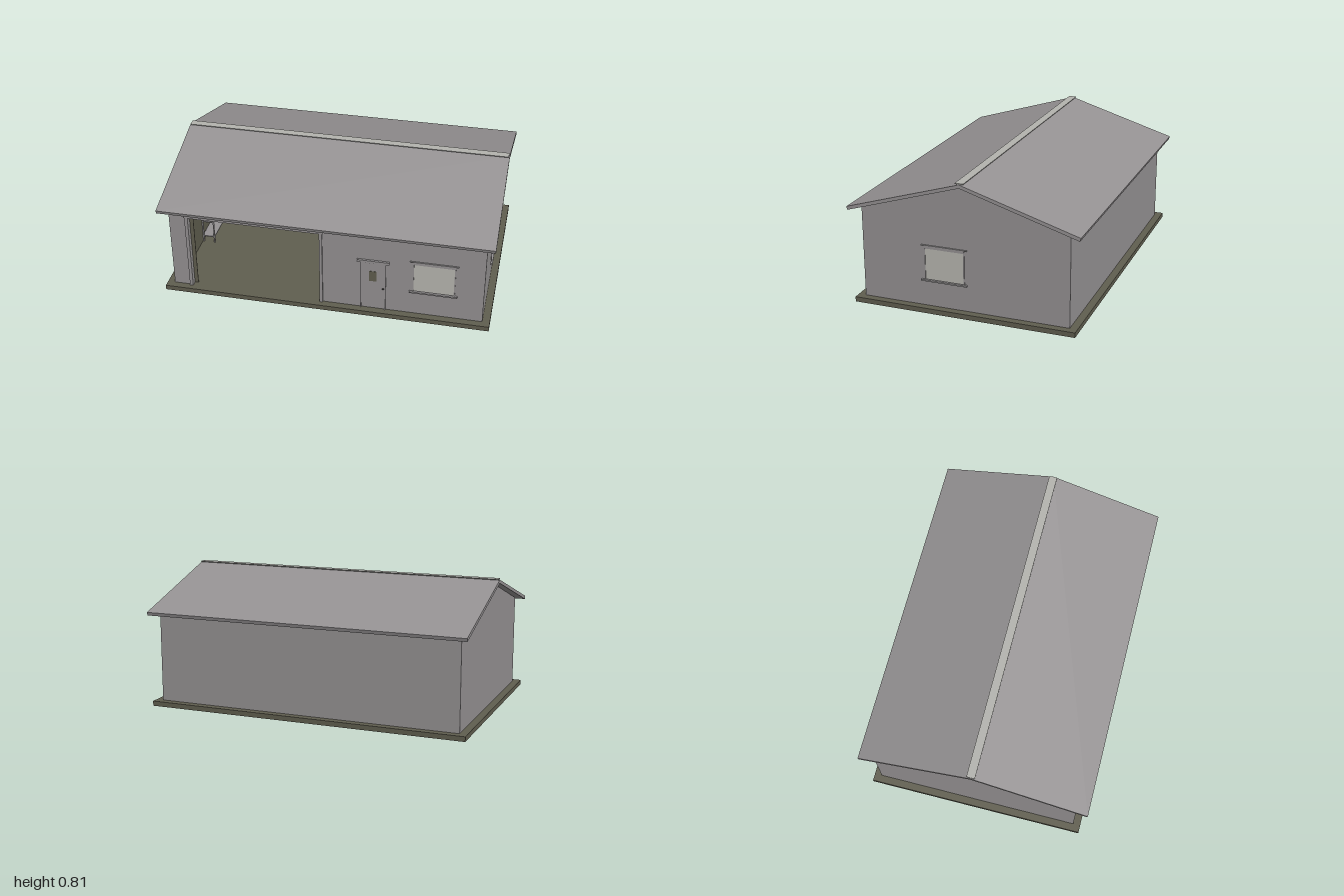
import * as THREE from 'three';

const mat = (name, color) => Object.assign(new THREE.MeshStandardMaterial({ color }), { name });

export function createModel() {
  const group = new THREE.Group();
  const steel = mat('grey cladding', 0x959293);
  const concrete = mat('olive concrete', 0x605e4f);
  const glass = mat('pale glass', 0xb8b7b1);
  const cap = mat('pale ridge metal', 0xb3b3ae);
  const dark = mat('dark metal', 0x3a3a38);

  const add = (name, geometry, material, parent = group) => {
    const mesh = new THREE.Mesh(geometry, material);
    mesh.name = name;
    parent.add(mesh);
    return mesh;
  };
  // Box given by its min and max on each axis
  const box = (name, [x0, x1], [y0, y1], [z0, z1], material, parent) => {
    const mesh = add(name, new THREE.BoxGeometry(x1 - x0, y1 - y0, z1 - z0), material, parent);
    mesh.position.set((x0 + x1) / 2, (y0 + y1) / 2, (z0 + z1) / 2);
    return mesh;
  };
  const shapeOf = (points) => new THREE.Shape(points.map(([x, y]) => new THREE.Vector2(x, y)));
  // Cross-section in z and y, pulled along x and centred on x
  const prismX = (name, points, length, x, material) => {
    const g = new THREE.ExtrudeGeometry(shapeOf(points), { depth: length, bevelEnabled: false });
    g.translate(0, 0, -length / 2);
    g.rotateY(Math.PI / 2);
    add(name, g, material).position.x = x;
  };

  // Floor slab
  box('floorSlab', [-0.995, 0.995], [0, 0.03], [-0.675, 0.675], concrete);

  // Front wall with the vehicle opening cut out
  const front = shapeOf([
    [-0.95, 0.03], [-0.83, 0.03], [-0.83, 0.522], [-0.03, 0.522],
    [-0.03, 0.03], [0.95, 0.03], [0.95, 0.588], [-0.95, 0.588],
  ]);
  const frontGeometry = new THREE.ExtrudeGeometry(front, { depth: 0.025, bevelEnabled: false });
  add('frontWall', frontGeometry, steel).position.z = 0.605;
  const liningGeometry = new THREE.ExtrudeGeometry(front, { depth: 0.004, bevelEnabled: false });
  liningGeometry.scale(0.972, 1, 1);
  add('frontLining', liningGeometry, concrete).position.z = 0.601;

  // Back wall and lining
  box('backWall', [-0.95, 0.95], [0.03, 0.588], [-0.63, -0.605], steel);
  box('backLining', [-0.925, 0.925], [0.03, 0.588], [-0.605, -0.601], concrete);

  // Gable walls and linings
  const gable = (w, eave) => [[-w, 0.03], [w, 0.03], [w, eave], [0, 0.786], [-w, eave]];
  for (const s of [-1, 1]) {
    prismX('gableWall', gable(0.63, 0.589), 0.025, s * 0.9375, steel);
    prismX('gableLining', gable(0.605, 0.597), 0.004, s * 0.923, concrete);
  }

  // Pitched roof and ridge cap
  prismX('roof', [
    [-0.695, 0.572], [0, 0.785], [0.695, 0.572],
    [0.701, 0.592], [0, 0.806], [-0.701, 0.592],
  ], 2, 0, steel);
  prismX('ridgeCap', [[-0.025, 0.808], [0, 0.802], [0.025, 0.808], [0.025, 0.812], [-0.025, 0.812]],
    1.99, 0, cap);

  // Trim around the vehicle opening
  const trimZ = [0.629, 0.64];
  box('openingHeader', [-0.855, -0.008], [0.522, 0.572], trimZ, steel);
  box('openingJamb', [-0.85, -0.83], [0.03, 0.522], trimZ, steel);
  box('openingJamb', [-0.03, -0.012], [0.03, 0.522], trimZ, steel);

  // Window facing +z about its own centre, then placed on a wall
  const makeWindow = (name, w) => {
    const win = new THREE.Group();
    win.name = name;
    const h = w / 2;
    box('windowGlass', [-h, h], [-0.093, 0.093], [-0.001, 0.002], glass, win);
    for (const s of [-1, 1]) {
      const e = [s * h, s * (h + 0.006)].sort((a, b) => a - b);
      box('windowJamb', e, [-0.095, 0.11], [-0.001, 0.006], steel, win);
    }
    box('windowHead', [-h, h], [0.093, 0.11], [-0.001, 0.006], steel, win);
    box('headFlashing', [-h - 0.025, h + 0.022], [0.109, 0.114], [-0.001, 0.009], steel, win);
    box('windowSill', [-h - 0.025, h + 0.022], [-0.106, -0.097], [-0.001, 0.014], steel, win);
    group.add(win);
    return win;
  };
  makeWindow('frontWindow', 0.238).position.set(0.654, 0.29, 0.63);
  const side = makeWindow('sideWindow', 0.234);
  side.position.set(0.95, 0.29, 0.119);
  side.rotation.y = Math.PI / 2;

  // Entrance door
  const door = new THREE.Group();
  door.name = 'door';
  group.add(door);
  box('doorLeaf', [0.225, 0.362], [0.036, 0.355], [0.628, 0.634], steel, door);
  box('doorJamb', [0.362, 0.37], [0.03, 0.362], [0.628, 0.638], steel, door);
  box('doorJamb', [0.217, 0.225], [0.03, 0.362], [0.628, 0.638], steel, door);
  box('doorHead', [0.225, 0.362], [0.355, 0.362], [0.628, 0.638], steel, door);
  box('doorFlashing', [0.197, 0.39], [0.362, 0.378], [0.628, 0.643], steel, door);
  box('doorPane', [0.27, 0.315], [0.23, 0.3], [0.633, 0.636], concrete, door);
  add('doorKnob', new THREE.SphereGeometry(0.006, 10, 8), dark, door).position.set(0.355, 0.182, 0.638);

  // Storage rack along the -x wall
  const rack = new THREE.Group();
  rack.name = 'storageRack';
  group.add(rack);
  for (const z of [-0.3, -0.07, 0.16]) {
    for (const x of [-0.918, -0.846]) {
      box('rackPost', [x, x + 0.008], [0.03, 0.4], [z, z + 0.008], steel, rack);
    }
  }
  for (const y of [0.07, 0.18, 0.29, 0.39]) {
    box('rackShelf', [-0.918, -0.838], [y, y + 0.006], [-0.3, 0.168], steel, rack);
  }

  // Hoop stands near the back wall
  for (const x of [-0.76, -0.682]) {
    const pts = [[-0.023, 0.03], [-0.023, 0.09], [-0.015, 0.099], [0.015, 0.099], [0.023, 0.09], [0.023, 0.03]];
    const path = new THREE.CurvePath();
    for (let i = 1; i < pts.length; i++) {
      path.add(new THREE.LineCurve3(
        new THREE.Vector3(...pts[i - 1], 0), new THREE.Vector3(...pts[i], 0)));
    }
    add('hoopStand', new THREE.TubeGeometry(path, 40, 0.003, 6), dark).position.set(x, 0, -0.56);
  }
  // Low board on the floor
  box('floorBoard', [-0.17, -0.092], [0.03, 0.048], [-0.56, -0.5], concrete);

  return group;
}
